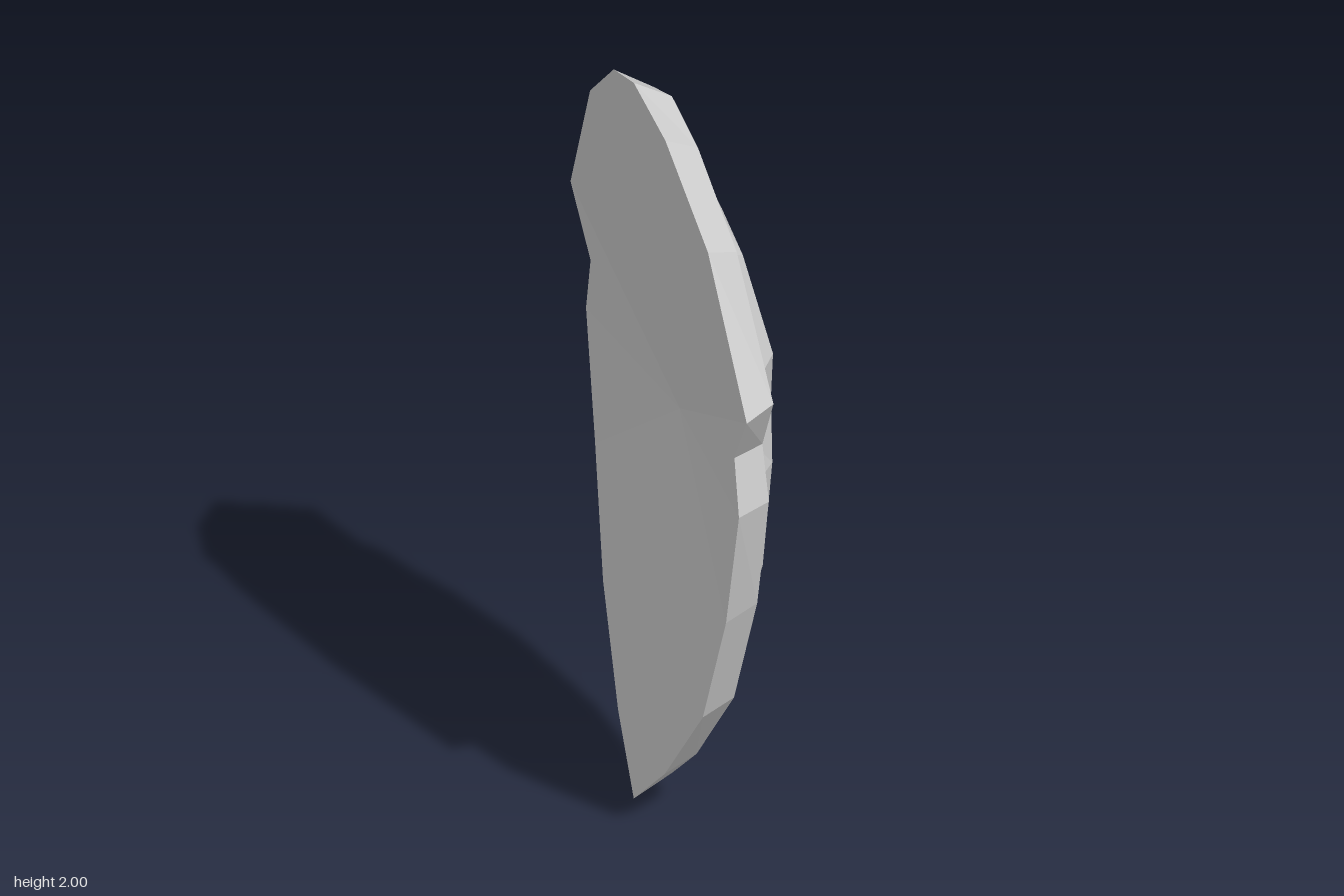
import * as THREE from 'three';

// Half outlines from top tip to bottom tip, each point [x, y, z] with z >= 0
const backEdge = [
  [-0.155, 2, 0], [-0.14, 1.935, 0.2], [-0.115, 1.745, 0.455], [-0.09, 1.375, 0.68], [-0.08, 1.215, 0.555],
  [-0.08, 1.065, 0.59], [-0.085, 0.73, 0.505], [-0.105, 0.41, 0.385], [-0.135, 0.155, 0.18], [-0.155, 0, 0],
];
const frontEdge = [
  [-0.055, 1.945, 0], [-0.045, 1.885, 0.17], [-0.025, 1.71, 0.41], [0, 1.385, 0.62], [0.01, 1.215, 0.505],
  [0.015, 1.07, 0.54], [0.01, 0.75, 0.465], [-0.01, 0.43, 0.345], [-0.04, 0.178, 0.145], [-0.055, 0.055, 0],
];
const innerEdge = [
  [-0.095, 1.885, 0], [-0.085, 1.84, 0.155], [-0.065, 1.68, 0.365], [-0.04, 1.385, 0.56], [-0.03, 1.23, 0.455],
  [-0.025, 1.07, 0.495], [-0.03, 0.76, 0.42], [-0.05, 0.44, 0.295], [-0.08, 0.2, 0.11], [-0.1, 0.11, 0],
];
const domeShoulder = [
  [0, 1.78, 0], [0, 1.745, 0.11], [0.045, 1.61, 0.25], [0.085, 1.385, 0.365], [0.09, 1.25, 0.335],
  [0.09, 1.07, 0.345], [0.08, 0.76, 0.3], [0.045, 0.44, 0.155], [0.005, 0.3, 0.045], [-0.015, 0.25, 0],
];
const domeRidge = [
  [0, 1.78, 0], [0.027, 1.72, 0], [0.075, 1.61, 0], [0.135, 1.385, 0], [0.153, 1.25, 0],
  [0.153, 1.07, 0], [0.115, 0.76, 0], [0.05, 0.44, 0], [0.012, 0.31, 0], [-0.015, 0.25, 0],
];

// Mirror a half outline into a closed loop, counter-clockwise seen from +x
const closeLoop = (half) => [
  ...half,
  ...half.slice(1, -1).reverse().map(([x, y, z]) => [x, y, -z]),
];

const samePoint = (a, b) => a.every((v, i) => Math.abs(v - b[i]) < 1e-6);

// Faceted mesh joining successive loops with quads
function loftMesh(name, loops) {
  const positions = [];
  const tri = (a, b, c) => {
    if (samePoint(a, b) || samePoint(b, c) || samePoint(a, c)) return;
    positions.push(...a, ...b, ...c);
  };
  for (let k = 0; k < loops.length - 1; k++) {
    const outer = loops[k], inner = loops[k + 1], n = outer.length;
    for (let i = 0; i < n; i++) {
      const j = (i + 1) % n;
      // Diagonals mirror across the centre plane
      if (i < n / 2) {
        tri(outer[i], outer[j], inner[j]);
        tri(outer[i], inner[j], inner[i]);
      } else {
        tri(outer[i], outer[j], inner[i]);
        tri(outer[j], inner[j], inner[i]);
      }
    }
  }
  const geometry = new THREE.BufferGeometry();
  geometry.setAttribute('position', new THREE.Float32BufferAttribute(positions, 3));
  geometry.computeVertexNormals();
  const material = new THREE.MeshStandardMaterial({ color: 0xcccccc, flatShading: true });
  const mesh = new THREE.Mesh(geometry, material);
  mesh.name = name;
  return mesh;
}

export function createModel() {
  const group = new THREE.Group();
  group.name = 'shield';
  const [back, front, inner, shoulder, ridge] =
    [backEdge, frontEdge, innerEdge, domeShoulder, domeRidge].map(closeLoop);

  // Raised rim: outer wall, then the inward slope
  group.add(loftMesh('rim', [back, front, inner]));

  // Bulging face, from the rim up to the centre ridge
  group.add(loftMesh('domedFace', [inner, shoulder, ridge]));

  // Shallow hollow back, fanned around one centre point
  const centre = back.map(() => [-0.035, 1.07, 0]);
  group.add(loftMesh('hollowBack', [centre, back]));

  return group;
}
